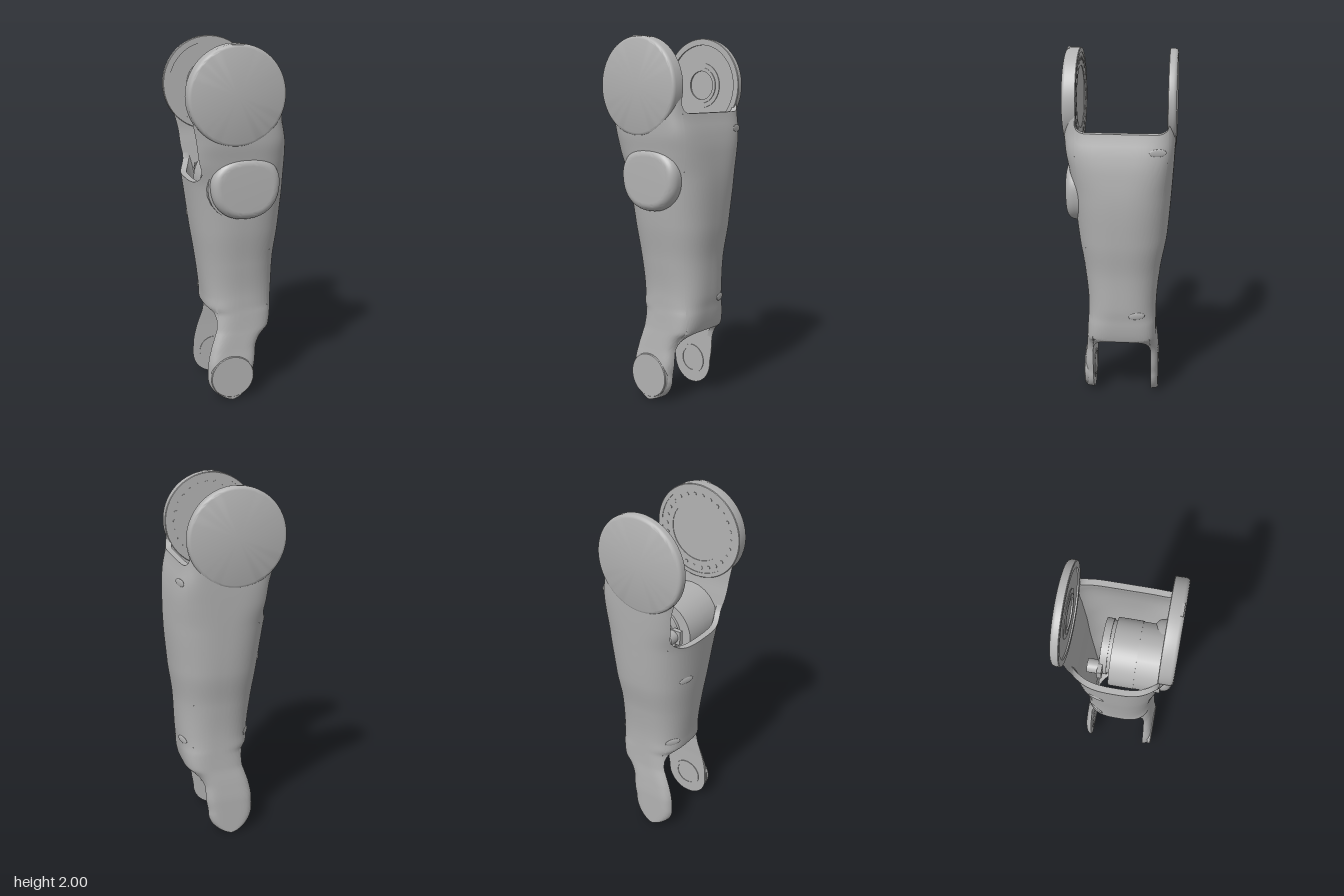
import * as THREE from 'three';
import { toCreasedNormals } from 'three/addons/utils/BufferGeometryUtils.js';

// Body profile: y, left x, right x, front z, back z, squareness, inner front z, inner back z
const PROFILE = [
  [0, -0.167, 0.107, 0.21, 0.215, 6, 0.158, 0.175],
  [0.135, -0.167, 0.107, 0.21, 0.215, 6, 0.158, 0.175],
  [0.2, -0.165, 0.117, 0.21, 0.215, 6, 0.158, 0.175],
  [0.3, -0.152, 0.131, 0.2, 0.21, 5, 0.157, 0.175],
  [0.35, -0.141, 0.155, 0.195, 0.206, 4.5, 0.155, 0.174],
  [0.38, -0.136, 0.182, 0.192, 0.203, 4.2, 0.154, 0.173],
  [0.41, -0.131, 0.213, 0.189, 0.201, 4, 0.153, 0.172],
  [0.5, -0.128, 0.23, 0.184, 0.2, 3.3, 0.15, 0.17],
  [0.54, -0.15, 0.233, 0.182, 0.2, 3, 0.15, 0.168],
  [0.6, -0.155, 0.24, 0.182, 0.201, 2.7, 0.15, 0.168],
  [0.8, -0.18, 0.25, 0.2, 0.22, 2.5, 0.162, 0.182],
  [1, -0.21, 0.275, 0.23, 0.255, 2.5, 0.184, 0.208],
  [1.25, -0.24, 0.29, 0.256, 0.276, 2.8, 0.208, 0.23],
  [1.4, -0.258, 0.282, 0.276, 0.286, 3.7, 0.22, 0.248],
  [1.5, -0.254, 0.266, 0.29, 0.291, 4.8, 0.227, 0.259],
  [1.6, -0.263, 0.24, 0.294, 0.294, 6, 0.227, 0.259],
  [1.74, -0.286, 0.226, 0.292, 0.292, 8, 0.227, 0.259],
];
const CX = -0.031, HIP_Y = 1.739, HIP_R = 0.261, KNEE_Y = 0.135;

// Smooth interpolation of the profile without overshoot
function sample(y, k) {
  const P = PROFILE, last = P.length - 1;
  const slope = (i) => (P[i + 1][k] - P[i][k]) / (P[i + 1][0] - P[i][0]);
  const tangent = (i) => {
    if (i === 0 || i === last) return 0;
    const a = slope(i - 1), b = slope(i);
    return a * b <= 0 ? 0 : (2 * a * b) / (a + b);
  };
  let i = 0;
  while (i < last - 1 && y > P[i + 1][0]) i++;
  const h = P[i + 1][0] - P[i][0];
  const t = Math.min(1, Math.max(0, (y - P[i][0]) / h)), t2 = t * t, t3 = t2 * t;
  return (2 * t3 - 3 * t2 + 1) * P[i][k] + (t3 - 2 * t2 + t) * h * tangent(i)
    + (3 * t2 - 2 * t3) * P[i + 1][k] + (t3 - t2) * h * tangent(i + 1);
}

// Cross-section at height y; the foot ends in a half circle
function section(y) {
  const [xl, xr, zf, zb, n, nf, nb] = [1, 2, 3, 4, 5, 6, 7].map((k) => sample(y, k));
  const round = y < KNEE_Y ? Math.sqrt(Math.max(0, 1 - ((KNEE_Y - y) / KNEE_Y) ** 2)) : 1;
  return { cx: (xl + xr) / 2, hx: ((xr - xl) / 2) * round, zf, zb, n, nf, nb };
}
const wallRatio = (q, n) => Math.pow(Math.max(0, 1 - Math.pow(Math.abs(q), n)), 1 / n);
function wallX(y, z, side) {
  const s = section(y);
  return s.cx + side * s.hx * wallRatio(z / (z > 0 ? s.zf : s.zb), s.n);
}

// Surface from a rule over u, v in 0..1
function grid(nu, nv, rule, flip) {
  const pos = [], idx = [];
  for (let j = 0; j <= nv; j++) for (let i = 0; i <= nu; i++) pos.push(...rule(i / nu, j / nv));
  for (let j = 0; j < nv; j++) for (let i = 0; i < nu; i++) {
    const a = j * (nu + 1) + i, b = a + 1, d = a + nu + 1, c = d + 1;
    if (flip) idx.push(a, d, b, b, d, c);
    else idx.push(a, b, d, b, c, d);
  }
  const g = new THREE.BufferGeometry();
  g.setAttribute('position', new THREE.Float32BufferAttribute(pos, 3));
  g.setIndex(idx);
  return toCreasedNormals(g, 0.7);
}

// Front (s = 1) or back (s = -1) wall with its lower lobe and flat inner face
function facePanel(s) {
  return grid(56, 130, (u, v) => {
    const y = 0.0005 + 1.73 * Math.pow(v, 1.4), q = section(y);
    const zh = s > 0 ? q.zf : q.zb, zn = s > 0 ? q.nf : q.nb;
    const edge = wallRatio(zn / zh, q.n);
    const a0 = Math.atan2(zn / zh, edge);
    if (u > 0.72) {
      const k = (u - 0.72) / 0.28;
      return [q.cx + q.hx * edge * (2 * k - 1), y, s * zn];
    }
    const a = a0 + (Math.PI - 2 * a0) * Math.min(1, u / (40 / 56));
    const c = Math.cos(a), d = Math.sin(a);
    const r = Math.pow(Math.abs(c) ** q.n + d ** q.n, -1 / q.n);
    return [q.cx + q.hx * r * c, y, s * zh * r * d];
  }, s > 0);
}

// Side wall between the faces, with rounded cut-outs above and below
function sidePanel(side, bottom, top, topRadius) {
  const corner = (d, R) => { const e = Math.max(0, R - d); return R - Math.sqrt(R * R - e * e); };
  return grid(60, 121, (u, v) => {
    const d = 0.35 * Math.min(u, 1 - u);
    const y0 = bottom - corner(d, 0.1), y1 = top + corner(d, topRadius);
    // outer skin up, inner skin down, then closed along the lower rim
    const row = Math.round(v * 121), inner = row > 60 && row < 121;
    const t = row <= 60 ? row / 60 : inner ? (120 - row) / 59 : 0;
    const y = y0 + (y1 - y0) * Math.pow(t, 1.5), q = section(y);
    const z = -q.nb + (q.nf + q.nb) * u;
    return [wallX(y, z, side) - (inner ? side * 0.035 : 0), y, z];
  }, side > 0);
}

export function createModel() {
  const model = new THREE.Group();
  const grey = new THREE.MeshStandardMaterial({ color: 0xb2b2b2, side: THREE.DoubleSide });
  grey.name = 'satin grey';
  const add = (name, geo, x = 0, y = 0, z = 0) => {
    const m = new THREE.Mesh(geo, grey);
    m.name = name;
    m.position.set(x, y, z);
    model.add(m);
    return m;
  };
  // Turned part on the z axis; s = -1 points it backwards
  const turned = (pts, s = 1) => toCreasedNormals(
    new THREE.LatheGeometry(pts.map((p) => new THREE.Vector2(...p)), 72).rotateX((s * Math.PI) / 2), 0.6);
  const drum = (r, len, seg = 48) => new THREE.CylinderGeometry(r, r, len, seg).rotateX(Math.PI / 2);

  // Shell
  add('frontShell', facePanel(1));
  add('backShell', facePanel(-1));
  add('leftSideShell', sidePanel(1, 0.4, 1.6, 0.04));
  add('rightSideShell', sidePanel(-1, 0.53, 1.27, 0.08));

  // Hip discs
  const rim = [[HIP_R, 0.277], [0.258, 0.286], [0.252, 0.292], [0.243, 0.295], [0, 0.295]];
  add('frontHipDisc', turned([[0, 0.226], [0.165, 0.226], [0.165, 0.223], [0.235, 0.223], [0.235, 0.22],
    [0.258, 0.22], [HIP_R, 0.223], ...rim]), CX, HIP_Y);
  add('backHipDisc', turned([[0, 0.258], [0.08, 0.258], [0.08, 0.25], [0.1, 0.25], [0.1, 0.254], [0.125, 0.254],
    [0.125, 0.258], [0.225, 0.258], [0.225, 0.25], [0.258, 0.25], [HIP_R, 0.253], ...rim], -1), CX, HIP_Y);
  for (let i = 0; i < 26; i++) {
    const a = (i / 26) * Math.PI * 2;
    add('hipBolt', drum(0.01, 0.004, 10), CX + 0.205 * Math.cos(a), HIP_Y + 0.205 * Math.sin(a), 0.2225);
  }
  add('hipLatch', new THREE.BoxGeometry(0.066, 0.006, 0.014), CX, 1.997, 0.282);

  // Knee bearings and cap
  add('kneeCap', turned([[0.125, 0.19], [0.125, 0.208], [0.121, 0.212], [0, 0.212]]), CX, 0.14);
  const bearing = [[0, 0.001], [0.068, 0.001], [0.068, -0.002], [0.086, -0.002], [0.086, 0.004]];
  add('frontKneeBearing', turned(bearing.map(([r, h]) => [r, h + 0.156])), CX, 0.14);
  add('backKneeBearing', turned(bearing.map(([r, h]) => [r, h + 0.173]), -1), CX, 0.14);

  // Rounded motor cover on the front, slightly wider at the top
  const cover = new THREE.Shape();
  for (let i = 0; i < 64; i++) {
    const a = (i / 64) * Math.PI * 2, c = Math.cos(a), s = Math.sin(a);
    const r = Math.pow(Math.abs(c) ** 2.4 + Math.abs(s) ** 2.4, -1 / 2.4);
    const x = 0.143 * r * c * (1 + 0.08 * s), y = 0.125 * r * s;
    if (i) cover.lineTo(x, y); else cover.moveTo(x, y);
  }
  add('motorCover', toCreasedNormals(new THREE.ExtrudeGeometry(cover, {
    depth: 0.04, bevelEnabled: true, bevelThickness: 0.048, bevelSize: 0.045, bevelSegments: 8,
  }), 0.6), 0.025, 1.249, 0.2);

  // Knee motor inside the shell
  add('motorHousing', drum(0.184, 0.135, 64), 0.005, 1.25, 0.0225);
  add('motorBase', drum(0.182, 0.14, 24), 0.005, 1.25, 0.16);
  add('motorNeck', drum(0.145, 0.03), 0.028, 1.25, -0.05);
  add('motorFlange', drum(0.152, 0.04), 0.028, 1.25, -0.085);
  add('motorPlug', drum(0.0375, 0.058, 32), -0.108, 1.28, -0.136);
  add('motorPlugBase', new THREE.BoxGeometry(0.09, 0.08, 0.025), -0.112, 1.28, -0.097);
  for (let i = 0; i < 12; i++) {
    const a = (i / 12) * Math.PI * 2;
    add('motorBolt', drum(0.009, 0.005, 10), 0.028 + 0.125 * Math.cos(a), 1.25 + 0.125 * Math.sin(a), -0.105);
  }

  // Almond-shaped screw pockets along the back half
  for (const [side, y, z] of [[1, 1.51, -0.205], [1, 0.575, -0.1], [-1, 1.04, -0.11], [-1, 0.6, -0.13]]) {
    const m = add('screwPocket', new THREE.SphereGeometry(1, 24, 12), wallX(y, z, side), y, z);
    m.scale.set(0.005, 0.02, 0.046);
    m.rotation.y = Math.atan((wallX(y, z + 0.01, side) - wallX(y, z - 0.01, side)) / 0.02);
  }
  return model;
}
